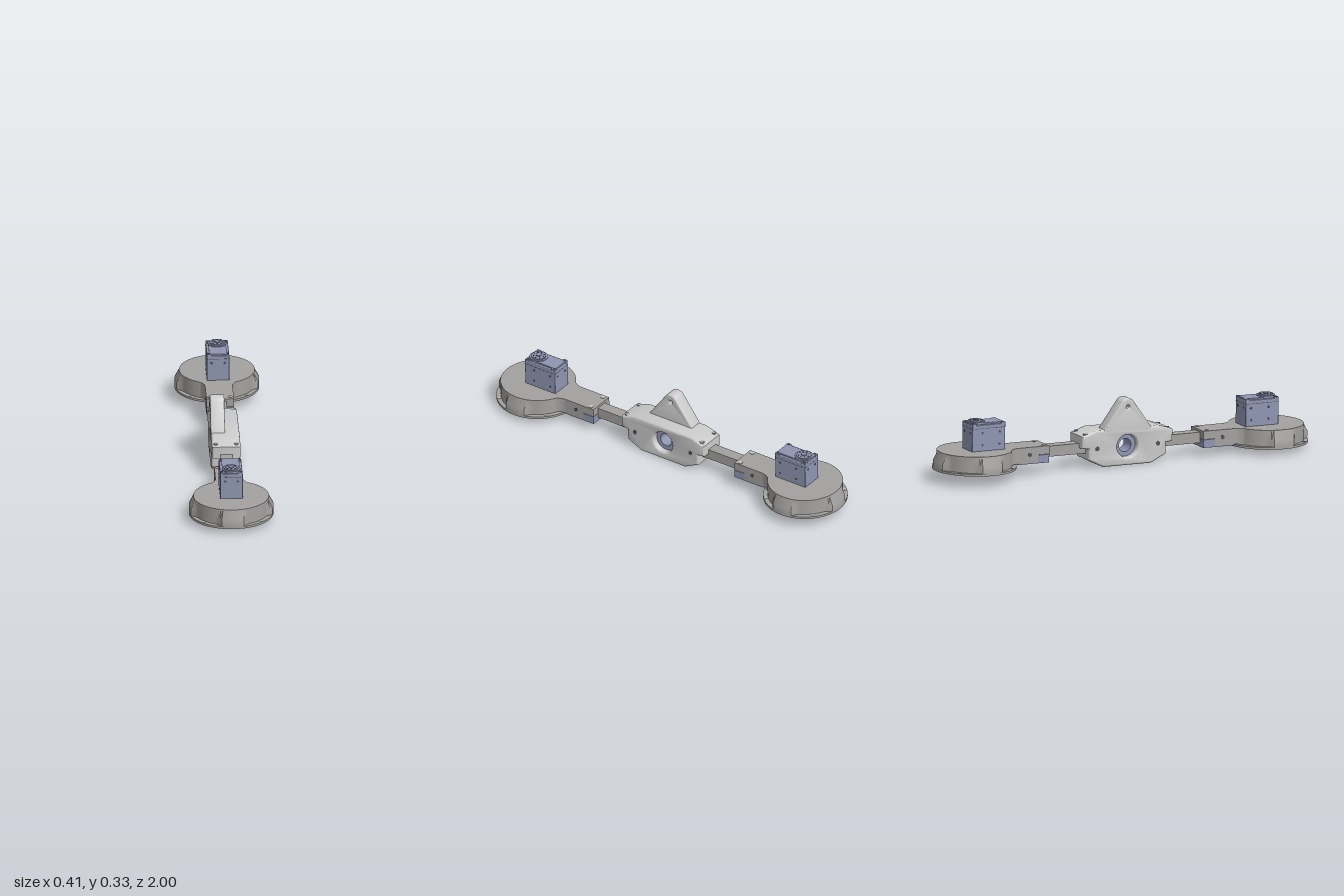
import * as THREE from 'three';
import { toCreasedNormals } from 'three/addons/utils/BufferGeometryUtils.js';
import { RoundedBoxGeometry } from 'three/addons/geometries/RoundedBoxGeometry.js';

const mat = (color) => new THREE.MeshStandardMaterial({ color });
const light = mat(0xcccccc);
const grey = mat(0xa3a2a0);
const blue = mat(0x8f96b2);
const dark = mat(0x50535f);
const teal = mat(0x5f9488);
const brown = mat(0x80503f);

const TOP = 0.138, BOTTOM = 0.046, RADIUS = 0.184, FLANGE = 0.206, BORE = 0.138, DISC_Z = 0.795;

function add(parent, name, geometry, material, x = 0, y = 0, z = 0) {
  const mesh = new THREE.Mesh(geometry, material);
  mesh.name = name;
  mesh.position.set(x, y, z);
  parent.add(mesh);
  return mesh;
}

const cyl = (r, h, n = 20) => new THREE.CylinderGeometry(r, r, h, n);
const box = (w, h, d) => new THREE.BoxGeometry(w, h, d);

// Ring or tube with a rectangular section, standing on y = 0
function ring(inner, outer, h, n = 64) {
  const p = [[inner, 0], [outer, 0], [outer, h], [inner, h], [inner, 0]];
  const g = new THREE.LatheGeometry(p.map(([a, b]) => new THREE.Vector2(a, b)), n);
  return toCreasedNormals(g, 0.6);
}

function circleHole(x, y, r) {
  return new THREE.Path().absarc(x, y, r, 0, Math.PI * 2, true);
}

// Extrudes a (z, y) outline along x, from x0 to x1
function sideExtrude(shape, x0, x1, bevel) {
  const g = new THREE.ExtrudeGeometry(shape, {
    depth: x1 - x0 - 2 * bevel, bevelEnabled: bevel > 0, bevelThickness: bevel,
    bevelSize: bevel, bevelOffset: -bevel, bevelSegments: 3, curveSegments: 24,
  });
  g.translate(0, 0, bevel - x1).rotateY(-Math.PI / 2).translate(0, 0, 0);
  // the rotation sends depth to -x, so -x1..-x0 becomes x1..x0
  return toCreasedNormals(g, 0.6);
}

// Extrudes an (x, z) outline upward from y0 to y1
function flatExtrude(shape, y0, y1) {
  const g = new THREE.ExtrudeGeometry(shape, { depth: y1 - y0, bevelEnabled: false, curveSegments: 16 });
  return g.rotateX(Math.PI / 2).translate(0, y1, 0);
}

// Housing wall: flange at the foot and four bosses that fade into the drum
function housingWall() {
  const levels = [[0, 1, 1], [0.011, 1, 1], [0.0112, 0, 1], [0.046, 0, 1], [0.088, 0, 0], [TOP - BOTTOM, 0, 0]];
  const n = 96;
  const g = new THREE.CylinderGeometry(1, 1, 1, n, levels.length - 1, true);
  const p = g.attributes.position;
  for (let i = 0; i < p.count; i++) {
    const row = levels.length - 1 - Math.floor(i / (n + 1));
    const [y, flange, boss] = levels[row];
    const a = Math.atan2(p.getX(i), p.getZ(i));
    const off = Math.abs(a - Math.round(a / (Math.PI / 2)) * Math.PI / 2);
    const w = THREE.MathUtils.clamp((0.42 - off) / 0.16, 0, 1);
    const r = RADIUS + (FLANGE - RADIUS) * Math.max(flange, boss * w);
    p.setXYZ(i, Math.sin(a) * r, y, Math.cos(a) * r);
  }
  return toCreasedNormals(g, 0.5);
}

function makeServo() {
  const servo = new THREE.Group();
  servo.name = 'servo';
  add(servo, 'servoCase', new RoundedBoxGeometry(0.11, 0.132, 0.18, 2, 0.004), blue, 0, 0.064, 0);
  add(servo, 'servoLid', box(0.086, 0.01, 0.172), blue, 0, 0.132, 0);
  add(servo, 'caseSeam', box(0.1108, 0.002, 0.1808), dark, 0, 0.112, 0);
  for (const x of [-1, 1]) for (const z of [-1, 1]) {
    add(servo, 'lidCorner', box(0.02, 0.008, 0.022), blue, x * 0.044, 0.132, z * 0.078);
    add(servo, 'lidScrew', cyl(0.006, 0.003, 12), dark, x * 0.044, 0.1365, z * 0.078);
  }
  // Output horn with its ring of screws
  add(servo, 'hornBase', cyl(0.045, 0.006, 32), blue, 0, 0.138, 0.045);
  add(servo, 'horn', cyl(0.036, 0.008, 32), blue, 0, 0.143, 0.045);
  add(servo, 'hornHub', cyl(0.014, 0.006), blue, 0, 0.149, 0.045);
  for (let i = 0; i < 8; i++) {
    const a = i * Math.PI / 4;
    add(servo, 'hornScrew', cyl(0.004, 0.002, 10), dark, Math.sin(a) * 0.026, 0.1475, 0.045 + Math.cos(a) * 0.026);
  }
  // Mounting holes on the four walls
  for (const s of [-1, 1]) {
    for (const y of [0.03, 0.09]) for (const z of [-0.06, 0.035]) {
      add(servo, 'sideHole', cyl(0.006, 0.002, 12), dark, s * 0.0552, y, z).rotation.z = Math.PI / 2;
    }
    for (const x of [-0.031, 0.031]) {
      add(servo, 'endHole', cyl(0.006, 0.002, 12), dark, x, 0.09, s * 0.0902).rotation.x = Math.PI / 2;
    }
  }
  servo.position.set(0, TOP, 0.745);
  return servo;
}

// Open underside with a bearing ring and a spoked rotor
function makeRotor() {
  const rotor = new THREE.Group();
  rotor.name = 'rotor';
  add(rotor, 'bearingRing', ring(0.118, BORE, 0.05), blue, 0, BOTTOM + 0.008, 0);
  add(rotor, 'coilRing', ring(0.092, 0.118, 0.018), brown, 0, 0.098, 0);
  const plate = new THREE.Shape().absarc(0, 0, 0.1, 0, Math.PI * 2);
  for (let i = 0; i < 5; i++) {
    const a = i * Math.PI * 0.4;
    plate.holes.push(circleHole(Math.cos(a) * 0.063, Math.sin(a) * 0.063, 0.024));
  }
  add(rotor, 'rotorPlate', flatExtrude(plate, 0.088, 0.1), teal);
  add(rotor, 'rotorHub', cyl(0.03, 0.03, 24), teal, 0, 0.09, 0);
  add(rotor, 'rotorShaft', cyl(0.014, 0.02), dark, 0, 0.078, 0);
  return rotor;
}

function makeArm(name) {
  const arm = new THREE.Group();
  arm.name = name;
  const housing = new THREE.Group();
  housing.name = 'housing';
  housing.position.z = DISC_Z;
  arm.add(housing);
  add(housing, 'housingWall', housingWall(), grey, 0, BOTTOM, 0);
  add(housing, 'housingTop', cyl(RADIUS, 0.016, 96), grey, 0, TOP - 0.008, 0);
  add(housing, 'flangeRim', ring(0.158, FLANGE - 0.001, 0.008, 96), grey, 0, BOTTOM, 0);
  add(housing, 'groove', ring(0.15, 0.16, 0.004), blue, 0, BOTTOM + 0.004, 0);
  add(housing, 'boreWall', ring(BORE, 0.151, 0.078), grey, 0, BOTTOM, 0);
  for (let i = 0; i < 4; i++) {
    const a = Math.PI / 4 + i * Math.PI / 2;
    add(housing, 'flangeScrew', cyl(0.007, 0.014, 12), light, Math.sin(a) * 0.195, BOTTOM + 0.006, Math.cos(a) * 0.195);
  }
  housing.add(makeRotor());
  arm.add(makeServo());

  // Neck that flares into the housing, stepped over the clamp block
  const neck = (z0) => {
    const s = new THREE.Shape();
    s.moveTo(-0.067, z0);
    s.lineTo(0.067, z0);
    s.lineTo(0.067, 0.585);
    s.quadraticCurveTo(0.069, 0.62, 0.1, 0.645);
    s.lineTo(-0.1, 0.645);
    s.quadraticCurveTo(-0.069, 0.62, -0.067, 0.585);
    return s;
  };
  add(arm, 'neckTop', flatExtrude(neck(0.42), 0.097, TOP), grey);
  add(arm, 'neckBase', flatExtrude(neck(0.48), 0.06, 0.097), grey);
  add(arm, 'clampBlock', box(0.134, 0.034, 0.06), blue, 0, 0.078, 0.45);
  add(arm, 'clampPlate', box(0.134, 0.006, 0.17), blue, 0, 0.058, 0.505);
  add(arm, 'beam', box(0.058, 0.053, 0.28), grey, 0, 0.1, 0.33);
  for (const s of [-1, 1]) {
    add(arm, 'neckScrew', cyl(0.011, 0.006), light, s * 0.05, TOP, 0.445);
    add(arm, 'plateScrew', cyl(0.009, 0.004), dark, s * 0.05, 0.055, 0.445);
    add(arm, 'plateScrew', cyl(0.009, 0.004), dark, s * 0.05, 0.055, 0.57);
    add(arm, 'neckBolt', cyl(0.01, 0.003), dark, s * 0.067, 0.1, 0.525).rotation.z = Math.PI / 2;
  }
  return arm;
}

function makeHub() {
  const hub = new THREE.Group();
  hub.name = 'hub';
  hub.position.z = 0.006;
  // Symmetric side outline with end lugs and sloping underside
  const half = [[0.13, 0.005], [0.21, 0.045], [0.21, 0.1], [0.246, 0.105], [0.246, 0.165], [0.17, 0.19]];
  const outline = [...half, ...half.map(([z, y]) => [-z, y]).reverse()];
  const body = new THREE.Shape(outline.map(([z, y]) => new THREE.Vector2(z, y)));
  body.holes.push(circleHole(0, 0.1, 0.056));
  add(hub, 'hubBody', sideExtrude(body, -0.07, 0.07, 0.01), light);

  const bearing = ring(0.033, 0.058, 0.08, 40).rotateZ(Math.PI / 2);
  add(hub, 'bearing', bearing, blue, 0.04, 0.1, 0);

  // Upright tab on one side with a rounded tip
  const tab = new THREE.Shape();
  tab.moveTo(-0.132, 0.17);
  tab.lineTo(0.132, 0.17);
  tab.lineTo(0.126, 0.19);
  tab.lineTo(0.034, 0.317);
  tab.absarc(0, 0.297, 0.04, 0.53, Math.PI - 0.53, false);
  tab.lineTo(-0.126, 0.19);
  tab.holes.push(circleHole(0, 0.295, 0.009));
  add(hub, 'tab', sideExtrude(tab, -0.07, 0, 0.006), light);

  for (const z of [-1, 1]) for (const x of [-1, 1]) {
    add(hub, 'lugScrew', cyl(0.011, 0.014), grey, x * 0.05, 0.169, z * 0.222);
    add(hub, 'sideBolt', cyl(0.011, 0.003), dark, x * 0.07, 0.1, z * 0.165).rotation.z = Math.PI / 2;
  }
  return hub;
}

export function createModel() {
  const model = new THREE.Group();
  model.name = 'twinArmRig';
  const rig = new THREE.Group();
  rig.name = 'balanceBeam';
  rig.rotation.x = 0.0165; // the whole beam leans slightly to the front
  const back = makeArm('backArm');
  back.rotation.y = Math.PI;
  rig.add(makeArm('frontArm'), back, makeHub());
  model.add(rig);
  return model;
}
